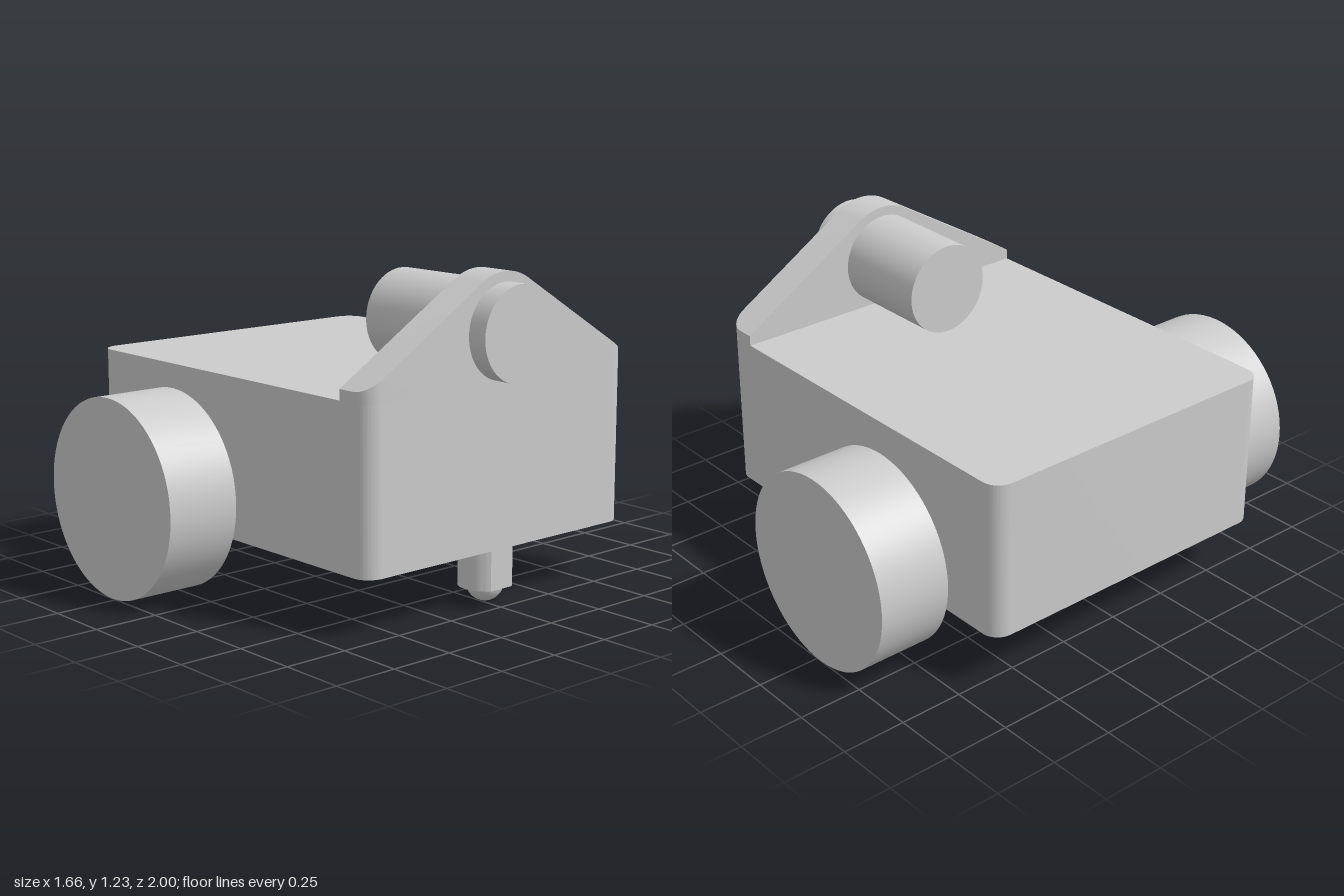
import * as THREE from 'three';
import { toCreasedNormals } from 'three/addons/utils/BufferGeometryUtils.js';

const material = new THREE.MeshStandardMaterial({ color: 0xcccccc });
const HALF_W = 0.65, FRONT_X = 0.75, BACK_X = -0.83, CORNER = 0.07;
const FLOOR = 0.22, DECK = 0.83;
const MOTOR_Y = 1.015, WHEEL_X = -0.27, WHEEL_Y = 0.378;

function part(name, geometry, x = 0, y = 0, z = 0) {
  const mesh = new THREE.Mesh(geometry, material);
  mesh.name = name;
  mesh.position.set(x, y, z);
  return mesh;
}

// Plan outline (x, z) extruded upwards by the given height
function prism(shape, height) {
  const g = new THREE.ExtrudeGeometry(shape, { depth: height, bevelEnabled: false, curveSegments: 12 });
  return toCreasedNormals(g.rotateX(-Math.PI / 2), 0.5);
}

function roundedPlan(x0, x1, w, r) {
  const s = new THREE.Shape();
  s.absarc(x1 - r, w - r, r, 0, Math.PI / 2);
  s.absarc(x0 + r, w - r, r, Math.PI / 2, Math.PI);
  s.absarc(x0 + r, -w + r, r, Math.PI, Math.PI * 1.5);
  s.absarc(x1 - r, -w + r, r, Math.PI * 1.5, Math.PI * 2);
  s.closePath();
  return s;
}

// Gabled motor plate: rectangular sections lofted across the width
function motorPlate() {
  const backX = 0.61, capR = 0.215, tangentZ = 0.11, eaves = 0.87;
  const capEnd = MOTOR_Y + Math.sqrt(capR ** 2 - tangentZ ** 2);
  const half = [];
  for (let i = 1; i <= 10; i++) half.push(tangentZ * i / 10);
  for (let i = 0; i <= 10; i++) half.push(HALF_W - CORNER + CORNER * Math.sin(i / 10 * Math.PI / 2));
  const zs = [...half.map(z => -z).reverse(), 0, ...half];

  const sections = zs.map(z => {
    const a = Math.abs(z);
    const top = a <= tangentZ
      ? MOTOR_Y + Math.sqrt(capR ** 2 - a * a)
      : THREE.MathUtils.mapLinear(a, tangentZ, HALF_W, capEnd, eaves);
    const over = Math.max(0, a - (HALF_W - CORNER));
    const x = FRONT_X - CORNER + Math.sqrt(Math.max(0, CORNER ** 2 - over ** 2));
    return [[backX, DECK, z], [x, DECK, z], [x, top, z], [backX, top, z]];
  });

  const pos = [];
  const quad = (a, b, c, d) => pos.push(...a, ...b, ...c, ...a, ...c, ...d);
  for (let i = 0; i < sections.length - 1; i++) {
    const p = sections[i], q = sections[i + 1];
    for (let k = 0; k < 4; k++) {
      const n = (k + 1) % 4;
      quad(p[k], p[n], q[n], q[k]);
    }
  }
  quad(...sections[sections.length - 1]);
  quad(...[...sections[0]].reverse());

  const g = new THREE.BufferGeometry();
  g.setAttribute('position', new THREE.Float32BufferAttribute(pos, 3));
  return toCreasedNormals(g, 0.5);
}

export function createModel() {
  const model = new THREE.Group();
  model.name = 'robotCar';

  // Chassis and motor mount
  model.add(part('chassis', prism(roundedPlan(BACK_X, FRONT_X, HALF_W, CORNER), DECK - FLOOR), 0, FLOOR, 0));
  model.add(part('motorPlate', motorPlate()));
  model.add(part('motor', new THREE.CylinderGeometry(0.177, 0.177, 0.62, 64).rotateZ(Math.PI / 2), 0.52, MOTOR_Y, 0));

  // Wheels on short axles
  for (const [side, s] of [['front', 1], ['back', -1]]) {
    model.add(part(side + 'Wheel',
      new THREE.CylinderGeometry(0.377, 0.377, 0.29, 72).rotateX(Math.PI / 2), WHEEL_X, WHEEL_Y, s * 0.855));
    model.add(part(side + 'Axle',
      new THREE.CylinderGeometry(0.056, 0.056, 0.1, 32).rotateX(Math.PI / 2), WHEEL_X, 0.382, s * 0.67));
  }

  // Caster: round housing with two flats, and a ball below
  const flat = Math.acos(0.085 / 0.1);
  const housing = new THREE.Shape();
  housing.absarc(0, 0, 0.1, flat, Math.PI - flat);
  housing.absarc(0, 0, 0.1, Math.PI + flat, Math.PI * 2 - flat);
  housing.closePath();
  const caster = new THREE.Group();
  caster.name = 'caster';
  caster.position.set(0.665, 0, 0);
  caster.add(part('casterHousing', prism(housing, FLOOR - 0.07), 0, 0.07, 0));
  caster.add(part('casterBall', new THREE.SphereGeometry(0.07, 32, 24), 0, 0.08, 0));
  model.add(caster);

  return model;
}
